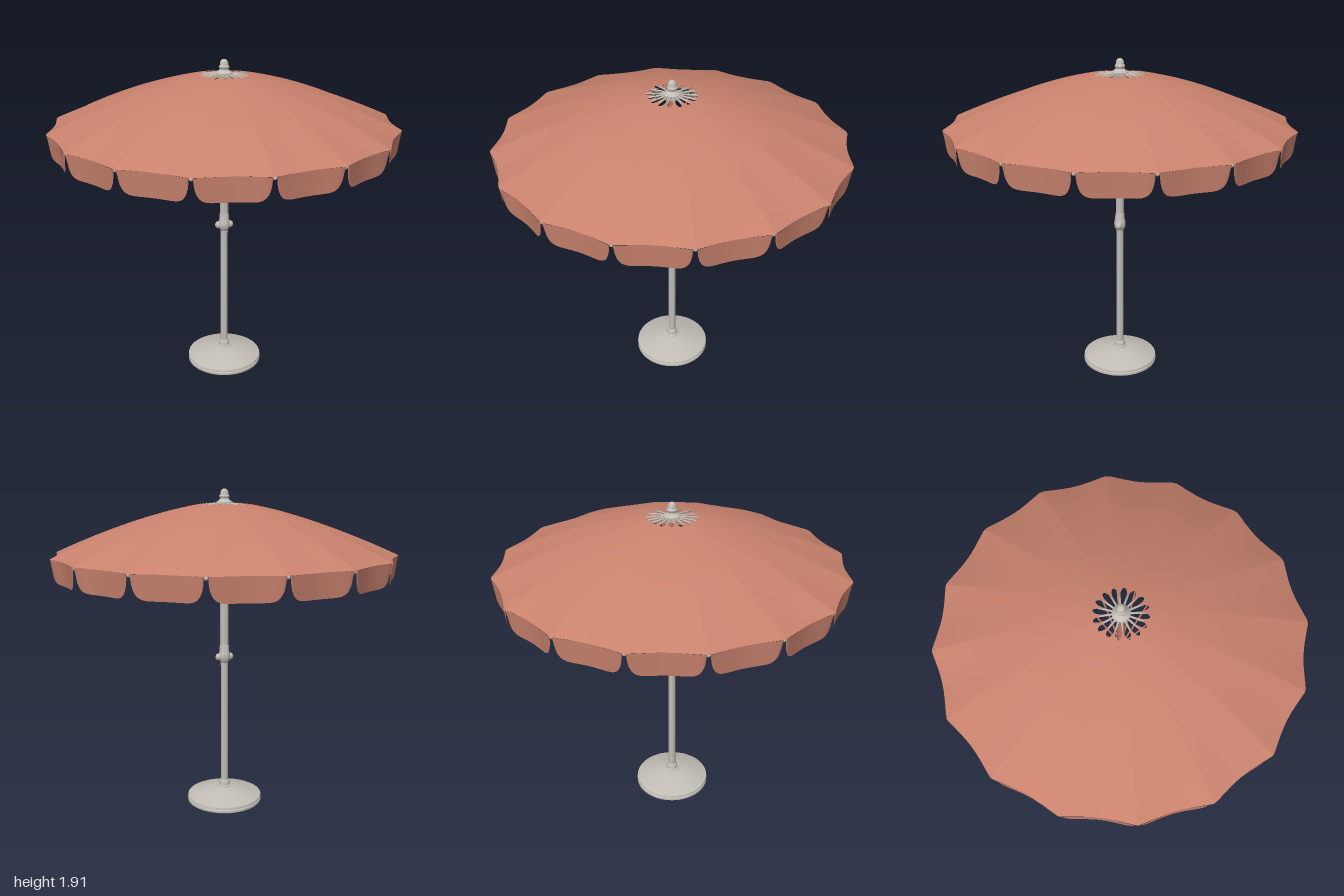
import * as THREE from 'three';
import { mergeGeometries, toCreasedNormals } from 'three/addons/utils/BufferGeometryUtils.js';

const RIBS = 16;
const STEP = (Math.PI * 2) / RIBS;

const cloth = new THREE.MeshStandardMaterial({ color: 0xc9826d, side: THREE.DoubleSide });
cloth.name = 'terracotta cloth';
const metal = new THREE.MeshStandardMaterial({ color: 0xc2beb6 });
metal.name = 'warm grey metal';
const terracotta = new THREE.MeshStandardMaterial({ color: 0xbd7560 });
terracotta.name = 'terracotta paint';

// Height of the canopy along a rib at radius r
const ribY = (r) => 1.84 - 0.3 * Math.pow(r, 1.5);
const polar = (r, y, a) => new THREE.Vector3(r * Math.cos(a), y, r * Math.sin(a));

// Position across a panel (0..1, finer near the ribs) and its inward sag
const across = (k, n) => (1 - Math.cos((Math.PI * k) / n)) / 2;
const edgeRadius = (u) => 1 - 0.036 * Math.sin(Math.PI * u);

function lathe(points, segments = 40) {
  const g = new THREE.LatheGeometry(points.map(([r, y]) => new THREE.Vector2(r, y)), segments);
  return toCreasedNormals(g, 0.6);
}

function gridGeometry(columns, rows, closed, pointAt) {
  const pos = [], index = [];
  const count = closed ? columns : columns + 1;
  for (let j = 0; j <= rows; j++)
    for (let i = 0; i < count; i++) pos.push(...pointAt(i, j / rows).toArray());
  for (let j = 0; j < rows; j++)
    for (let i = 0; i < columns; i++) {
      const n = (i + 1) % count;
      const a = j * count + i, b = j * count + n, c = a + count, d = b + count;
      index.push(a, b, c, b, d, c);
    }
  const g = new THREE.BufferGeometry();
  g.setAttribute('position', new THREE.Float32BufferAttribute(pos, 3));
  g.setIndex(index);
  g.computeVertexNormals();
  return g;
}

// Roof cloth with ridges over the ribs and a petal-edged vent at the top
function canopyGeometry() {
  const n = 14;
  return gridGeometry(RIBS * n, 18, true, (i, t) => {
    const u = across(i % n, n);
    const angle = (Math.floor(i / n) + u) * STEP;
    const inner = 0.055 + 0.09 * Math.sqrt(Math.sin(Math.PI * u));
    const r = THREE.MathUtils.lerp(inner, 1, t);
    return polar(r * (1 + (edgeRadius(u) - 1) * t), ribY(r), angle);
  });
}

// One hanging flap with rounded lower corners
function flapGeometry(k) {
  const n = 28;
  return gridGeometry(n, 4, false, (i, t) => {
    const u = across(i, n);
    const depth = 0.13 * Math.sqrt(Math.max(0, 1 - Math.pow(Math.abs(2 * u - 1), 7)));
    const v = 0.025 + 0.95 * u * t + 0.95 * u * (1 - t);
    return polar(edgeRadius(u) - 0.01 * t, 1.54 - depth * t, (k + v) * STEP);
  });
}

function rod(points, radius) {
  return new THREE.TubeGeometry(new THREE.CatmullRomCurve3(points), 14, radius, 6);
}

function ball(radius, p) {
  return new THREE.SphereGeometry(radius, 12, 8).translate(p.x, p.y, p.z);
}

export function createModel() {
  const model = new THREE.Group();
  model.name = 'parasol';
  const add = (name, geometry, material) => {
    const mesh = new THREE.Mesh(geometry, material);
    mesh.name = name;
    model.add(mesh);
    return mesh;
  };

  // Weighted foot
  add('base', lathe([
    [0.222, 0], [0.228, 0.005], [0.228, 0.018], [0.222, 0.021], [0.222, 0.025], [0.228, 0.028],
    [0.226, 0.038], [0.2, 0.047], [0.14, 0.067], [0.08, 0.083], [0.04, 0.09],
  ], 56), metal);
  add('baseUnderside', new THREE.CircleGeometry(0.223, 56).rotateX(Math.PI / 2), terracotta);
  add('poleSocket', lathe([
    [0.042, 0.085], [0.042, 0.095], [0.033, 0.1], [0.033, 0.118], [0.028, 0.128], [0.022, 0.13],
  ]), metal);

  // Pole with a joint half way up
  add('pole', lathe([
    [0.022, 0.1], [0.022, 0.86], [0.025, 0.97], [0.025, 1.36], [0.022, 1.46],
  ], 24), metal);
  add('poleJoint', lathe([
    [0.022, 0.885], [0.032, 0.9], [0.035, 0.92], [0.034, 0.94], [0.029, 0.955], [0.028, 0.985], [0.024, 1.0],
  ], 24), metal);
  for (const side of [-1, 1]) {
    const knob = add('jointKnob', new THREE.SphereGeometry(0.022, 16, 10), metal);
    knob.scale.set(0.9, 1, 0.9);
    knob.position.set(side * 0.036, 0.92, 0);
  }
  add('upperPole', new THREE.CylinderGeometry(0.021, 0.021, 0.38, 24).translate(0, 1.64, 0), terracotta);

  // Sliding runner that carries the struts
  add('runner', lathe([
    [0.024, 1.35], [0.029, 1.365], [0.029, 1.42], [0.04, 1.43], [0.042, 1.455], [0.03, 1.465], [0.02, 1.475],
  ], 24), metal);

  // Crown hub and finial
  add('crownHub', lathe([
    [0.02, 1.805], [0.045, 1.81], [0.048, 1.835], [0.03, 1.848], [0.024, 1.855],
  ], 24), metal);
  add('finial', lathe([
    [0.022, 1.85], [0.029, 1.862], [0.03, 1.87], [0.024, 1.878], [0.023, 1.892],
    [0.017, 1.904], [0.008, 1.91], [0, 1.911],
  ], 24), metal);

  // Cloth
  add('canopy', canopyGeometry(), cloth);
  const flaps = [], ribs = [], tips = [], struts = [], joints = [];
  for (let k = 0; k < RIBS; k++) {
    const a = k * STEP;
    flaps.push(flapGeometry(k));

    // Ribs under the ridges, with a bead at each end
    ribs.push(rod([0.035, 0.15, 0.35, 0.6, 0.8, 0.985].map((r) => polar(r, ribY(r) - 0.01, a)), 0.006));
    tips.push(ball(0.011, polar(0.985, 1.532, a)));

    // Struts from the runner to the ribs
    const end = polar(0.42, ribY(0.42) - 0.024, a);
    struts.push(rod([polar(0.035, 1.447, a), polar(0.22, 1.58, a), end], 0.005));
    joints.push(rod([polar(0.37, 1.69, a), end, polar(0.45, ribY(0.45) - 0.014, a)], 0.01));
  }
  add('valance', mergeGeometries(flaps), cloth);
  add('ribs', mergeGeometries(ribs), metal);
  add('ribTips', mergeGeometries(tips), metal);
  add('struts', mergeGeometries(struts), terracotta);
  add('strutJoints', mergeGeometries(joints), terracotta);

  return model;
}
